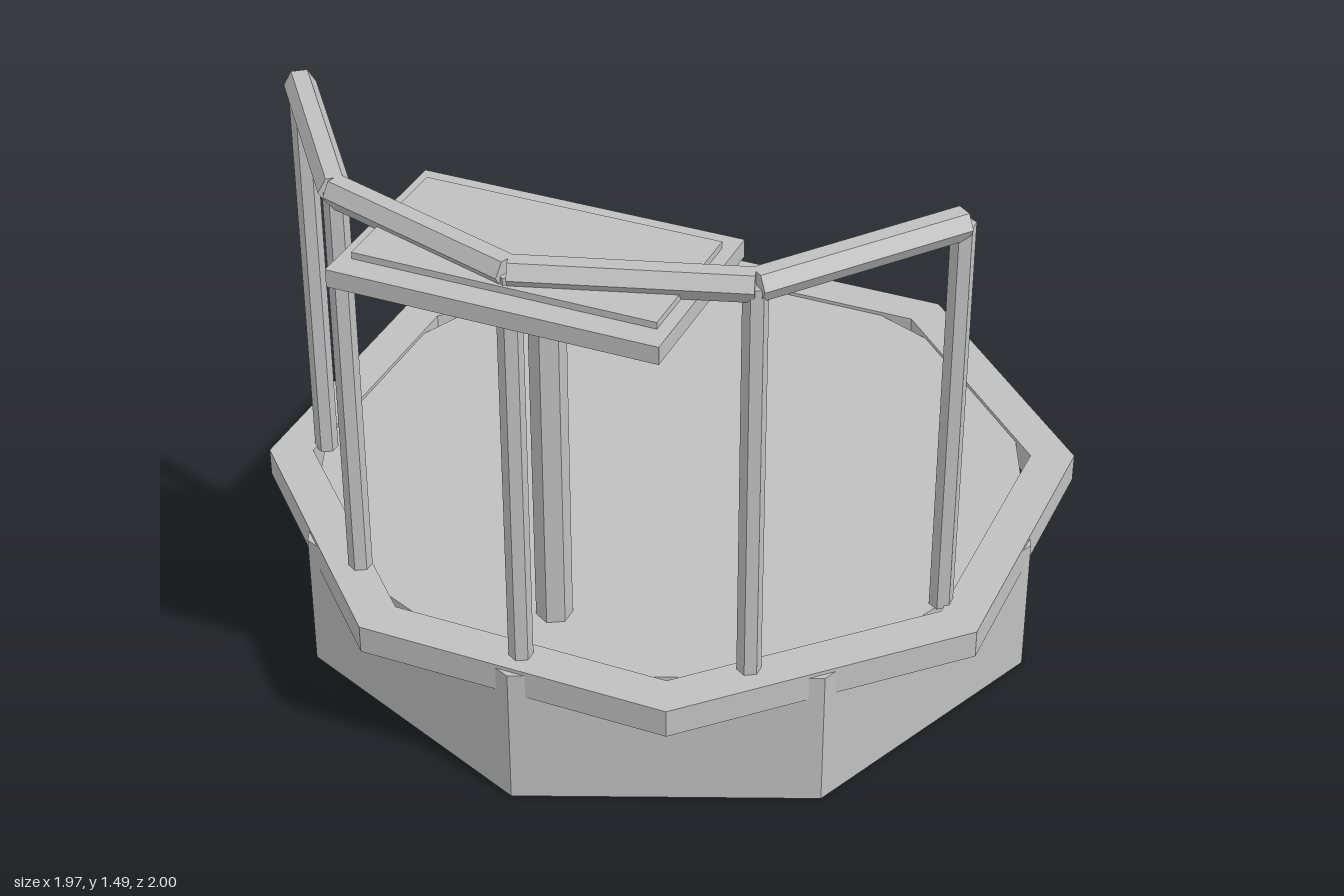
import * as THREE from 'three';

export function createModel() {
  const model = new THREE.Group();
  const grey = new THREE.MeshStandardMaterial({ color: 0xc0c0c0, flatShading: true });
  grey.name = 'plain grey';
  const centreZ = -0.01;

  function add(name, geometry, x, y, z) {
    const mesh = new THREE.Mesh(geometry, grey);
    mesh.name = name;
    mesh.position.set(x, y, z);
    model.add(mesh);
    return mesh;
  }

  // upright hexagonal or octagonal prism from y0 to y1
  function prism(name, radius, sides, x, z, y0, y1) {
    return add(name, new THREE.CylinderGeometry(radius, radius, y1 - y0, sides), x, (y0 + y1) / 2, z);
  }

  function octagon(Type, apothem) {
    const path = new Type();
    const r = apothem / Math.cos(Math.PI / 8);
    for (let i = 0; i < 8; i++) {
      const a = (i + 0.5) * Math.PI / 4;
      path[i ? 'lineTo' : 'moveTo'](r * Math.cos(a), r * Math.sin(a));
    }
    path.closePath();
    return path;
  }

  // Eight-sided platform with its corners on the axes
  prism('platform', 0.987, 8, 0, centreZ, 0, 0.375);

  // Rim turned half a side against the platform
  const rimShape = octagon(THREE.Shape, 0.976);
  rimShape.holes.push(octagon(THREE.Path, 0.87));
  const rimGeometry = new THREE.ExtrudeGeometry(rimShape, { depth: 0.075, bevelEnabled: false });
  rimGeometry.rotateX(-Math.PI / 2);
  add('rim', rimGeometry, 0, 0.31, centreZ - 0.005);

  // Railing posts on an arc around the front
  const points = [-70, -35, 0, 35, 70].map((deg) => {
    const a = THREE.MathUtils.degToRad(deg);
    return new THREE.Vector3(0.909 * Math.sin(a), 1.455, 0.909 * Math.cos(a) + centreZ);
  });
  points.forEach((p) => prism('railPost', 0.03, 6, p.x, p.z, 0.375, 1.455));

  // Hexagonal handrail pieces from post to post, flat side up
  for (let i = 0; i < points.length - 1; i++) {
    const [a, b] = [points[i], points[i + 1]];
    const geometry = new THREE.CylinderGeometry(0.04, 0.04, a.distanceTo(b), 6);
    geometry.rotateY(Math.PI / 6).rotateX(Math.PI / 2);
    const rail = add('handrail', geometry, (a.x + b.x) / 2, 1.455, (a.z + b.z) / 2);
    rail.rotation.y = Math.atan2(b.x - a.x, b.z - a.z);
  }

  // Table with a raised panel, and the column beneath it
  prism('tableColumn', 0.045, 6, 0, 0.71, 0.37, 1.34);
  add('tableTop', new THREE.BoxGeometry(0.81, 0.045, 0.49), 0, 1.3975, 0.755);
  add('tablePanel', new THREE.BoxGeometry(0.745, 0.018, 0.37), 0, 1.428, 0.75);

  return model;
}
